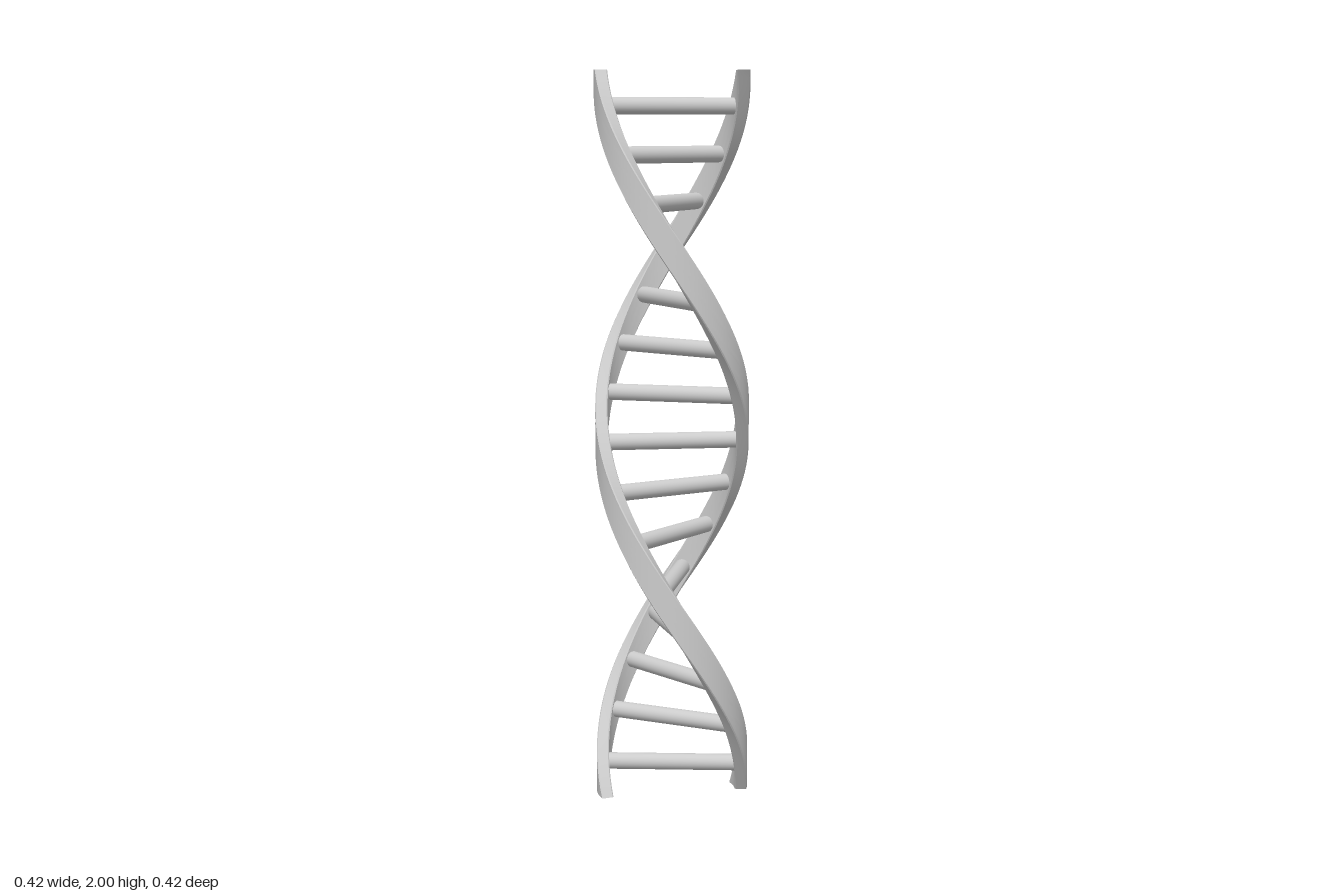
import * as THREE from 'three';
import { toCreasedNormals } from 'three/addons/utils/BufferGeometryUtils.js';

const HEIGHT = 2;
const INNER = 0.177, OUTER = 0.211; // radial extent of a strand
const HALF = 0.195;                 // half width of a strand, in radians
const RUNGS = 15;

// Heading of the helix at height y
const turn = (y) => (2.065 - y) * THREE.MathUtils.degToRad(185.5);

// Ribbon section extruded upward, then twisted about the y axis
function strandGeometry() {
  const c = 0.003; // small chamfer on the long edges
  const shape = new THREE.Shape();
  shape.absarc(0, 0, OUTER, -HALF + c / OUTER, HALF - c / OUTER, false);
  shape.absarc(0, 0, OUTER - c, HALF, HALF, false);
  shape.absarc(0, 0, INNER + c, HALF, HALF, false);
  shape.absarc(0, 0, INNER, HALF - c / INNER, -HALF + c / INNER, true);
  shape.absarc(0, 0, INNER + c, -HALF, -HALF, false);
  shape.absarc(0, 0, OUTER - c, -HALF, -HALF, false);
  shape.closePath();

  const geometry = new THREE.ExtrudeGeometry(shape, {
    depth: HEIGHT, steps: 96, curveSegments: 4, bevelEnabled: false,
  });
  geometry.rotateX(-Math.PI / 2);

  const pos = geometry.attributes.position;
  const v = new THREE.Vector3();
  const up = new THREE.Vector3(0, 1, 0);
  for (let i = 0; i < pos.count; i++) {
    v.fromBufferAttribute(pos, i);
    v.applyAxisAngle(up, turn(v.y));
    pos.setXYZ(i, v.x, v.y, v.z);
  }
  return toCreasedNormals(geometry, 0.6);
}

export function createModel() {
  const model = new THREE.Group();
  model.name = 'doubleHelix';
  const material = new THREE.MeshStandardMaterial({ color: 0xcccccc });

  // Two strands, half a turn apart
  const strand = strandGeometry();
  for (let i = 0; i < 2; i++) {
    const mesh = new THREE.Mesh(strand, material);
    mesh.name = `strand${i + 1}`;
    mesh.rotation.y = i * Math.PI;
    model.add(mesh);
  }

  // Round rungs joining the strands
  const rung = new THREE.CylinderGeometry(0.023, 0.023, 0.37, 24);
  rung.rotateZ(Math.PI / 2);
  for (let i = 0; i < RUNGS; i++) {
    const mesh = new THREE.Mesh(rung, material);
    mesh.name = `rung${i + 1}`;
    mesh.position.y = 0.082 + i * 0.1302;
    mesh.rotation.y = turn(mesh.position.y);
    model.add(mesh);
  }
  return model;
}
